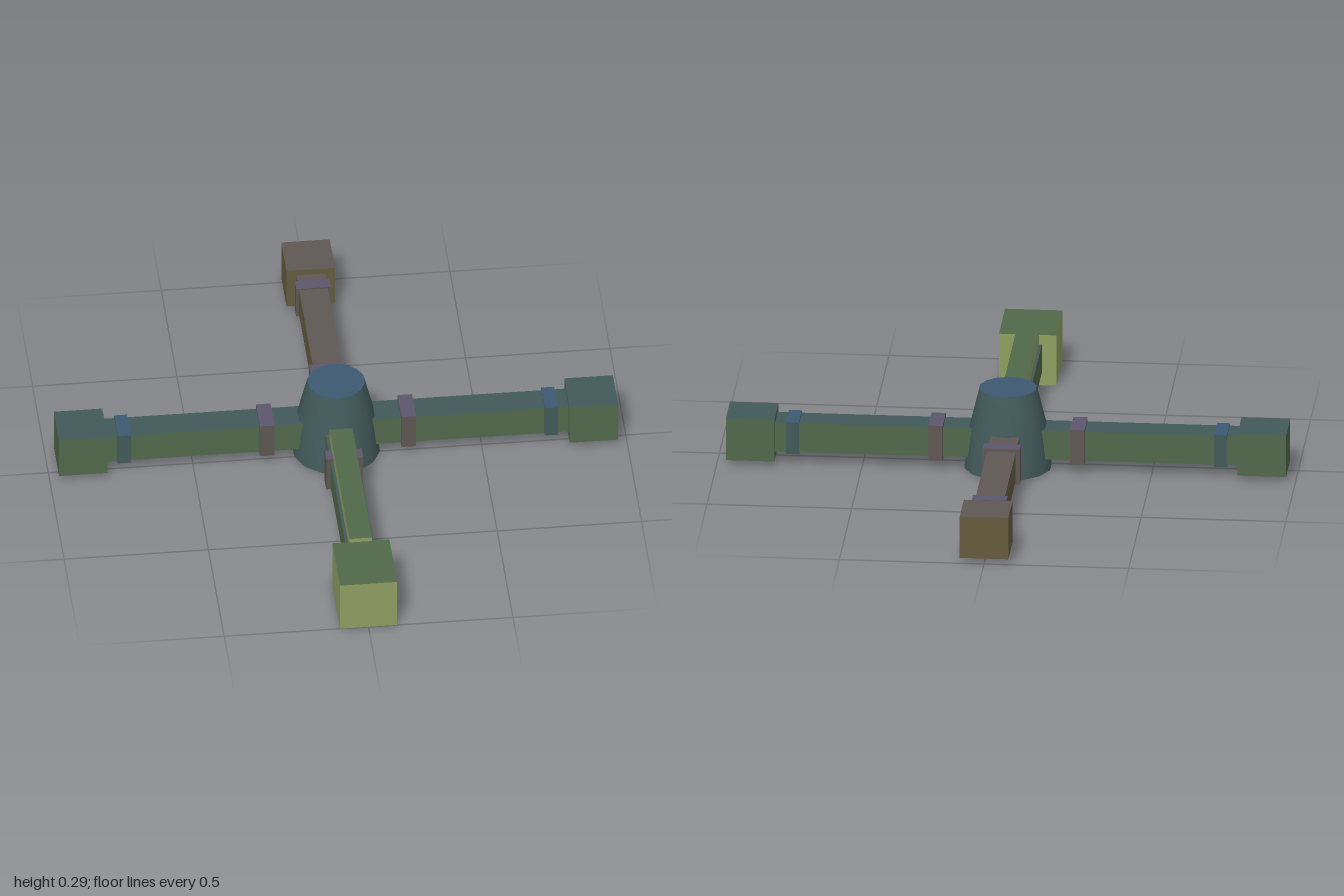
import * as THREE from 'three';

const mat = (name, color) => Object.assign(new THREE.MeshStandardMaterial({ color }), { name });

export function createModel() {
  const lime = mat('pale olive green', 0x8f9f62);
  const green = mat('moss green', 0x50694a);
  const teal = mat('dark teal', 0x425a5a);
  const blue = mat('slate blue', 0x3d5872);
  const brown = mat('olive brown', 0x645c3f);
  const taupe = mat('taupe', 0x5f5753);
  const purple = mat('dusky purple', 0x5c566e);

  const model = new THREE.Group();
  model.name = 'crossHub';
  const cz = -0.034; // centre line of hub and side arms

  // Box given by its limits, with a separate colour for the top face
  function box(name, [x0, x1], [y0, y1], [z0, z1], side, top) {
    const g = new THREE.BoxGeometry(x1 - x0, y1 - y0, z1 - z0);
    const m = new THREE.Mesh(g, [side, side, top, side, side, side]);
    m.position.set((x0 + x1) / 2, (y0 + y1) / 2, (z0 + z1) / 2);
    m.name = name;
    model.add(m);
  }
  const around = (c, h) => [c - h, c + h];

  // Tapered hub with a flat cap
  const profile = [[0, 0], [0.152, 0], [0.152, 0], [0.137, 0.14], [0.1, 0.288]];
  const wall = new THREE.LatheGeometry(profile.slice(2).map(p => new THREE.Vector2(...p)), 14);
  const hub = new THREE.Mesh(wall, teal);
  hub.name = 'hubWall';
  const cap = new THREE.Mesh(new THREE.CircleGeometry(0.1, 14), blue);
  cap.name = 'hubTop';
  cap.rotation.set(-Math.PI / 2, 0, Math.PI / 2);
  cap.position.set(0, 0.288, cz);
  const base = new THREE.Mesh(new THREE.CircleGeometry(0.152, 14), teal);
  base.name = 'hubBase';
  base.rotation.set(Math.PI / 2, 0, Math.PI / 2);
  base.position.z = cz;
  hub.position.z = cz;
  model.add(hub, cap, base);

  // Left and right arms
  for (const s of [1, -1]) {
    const span = (a, b) => (s > 0 ? [a, b] : [-b, -a]);
    const side = s > 0 ? 'left' : 'right';
    box(side + 'Arm', span(0.05, 0.8), [0.046, 0.151], around(cz, 0.053), green, teal);
    box(side + 'EndBlock', span(0.8, 0.968), [0.02, 0.172], around(cz, 0.084), green, teal);
    box(side + 'InnerCollar', span(0.22, 0.27), [0.034, 0.162], around(cz, 0.064), taupe, purple);
    box(side + 'OuterBand', span(0.717, 0.762), [0.04, 0.157], around(cz, 0.06), teal, blue);
  }

  // Rear arm, passing through the hub
  box('rearArm', [-0.05, 0.05], [0.046, 0.151], [-0.835, 0.1], brown, taupe);
  box('rearEndBlock', [-0.084, 0.084], [0.02, 0.172], [-1, -0.835], brown, taupe);
  box('rearInnerCollar', [-0.064, 0.064], [0.034, 0.162], [-0.305, -0.255], taupe, purple);
  box('rearOuterCollar', [-0.06, 0.06], [0.04, 0.157], [-0.793, -0.748], taupe, purple);

  // Front arm with raised rail and large end block
  box('frontArm', [-0.049, 0.049], [0.046, 0.15], [0.06, 0.757], green, teal);
  box('frontRail', [-0.039, 0.039], [0.145, 0.2], [0.125, 0.757], lime, green);
  box('frontCollar', [-0.064, 0.064], [0.034, 0.162], [0.192, 0.244], taupe, purple);
  box('frontEndBlock', [-0.099, 0.099], [0, 0.185], [0.755, 1], lime, green);

  return model;
}
